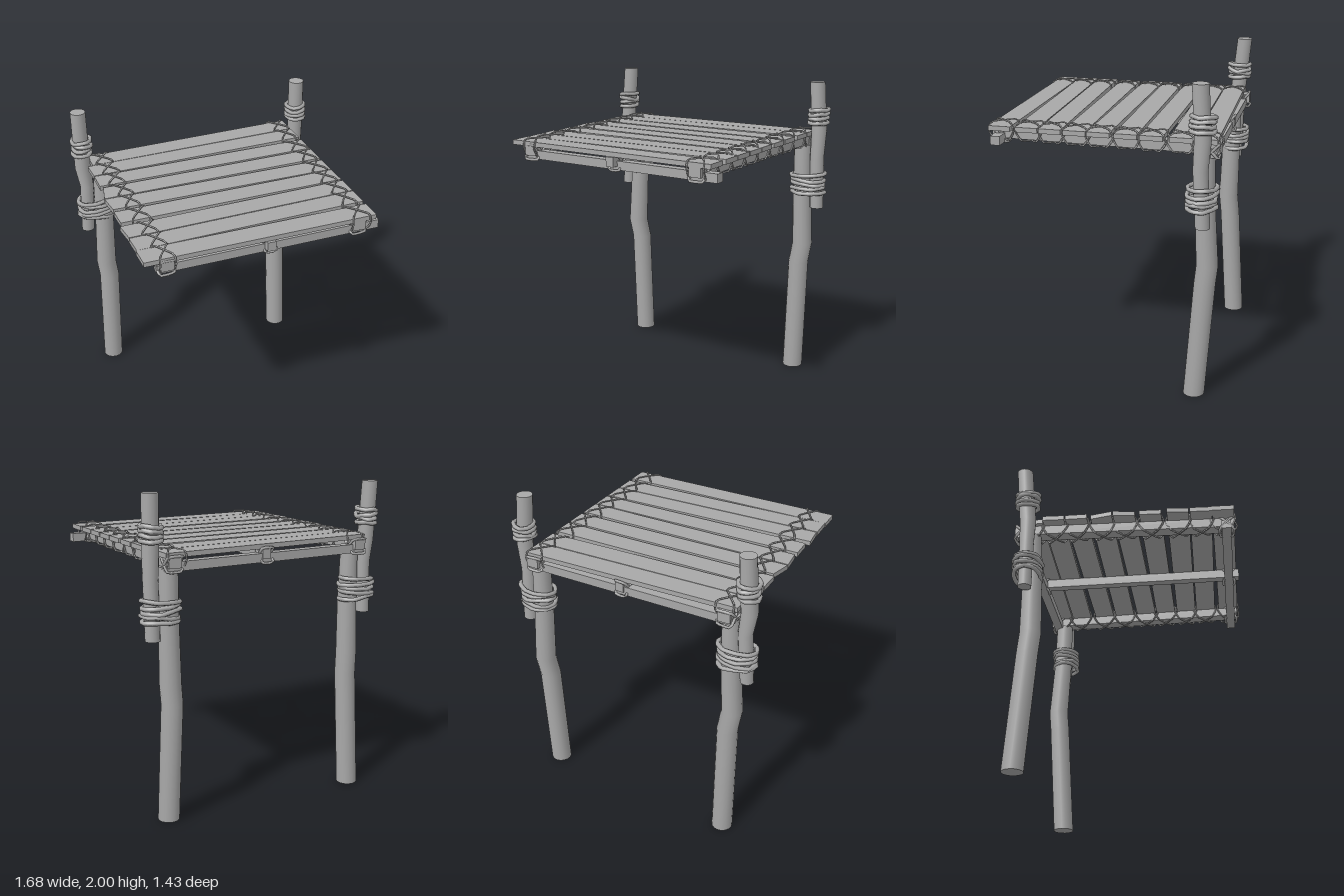
import * as THREE from 'three';

const greyWood = new THREE.MeshStandardMaterial({ color: 0xa8a8a8 });
greyWood.name = 'grey wood';

const v = (x, y, z) => new THREE.Vector3(x, y, z);

// Small seeded random in -1..1 for the uneven ropes
let seed = 7;
const jitter = (amount) => {
  seed = (seed * 16807) % 2147483647;
  return (seed / 2147483647 * 2 - 1) * amount;
};

function add(parent, name, geometry) {
  const mesh = new THREE.Mesh(geometry, greyWood);
  mesh.name = name;
  parent.add(mesh);
  return mesh;
}

// Crooked round pole: rows are [x, y, z, radius] from top to bottom
function pole(parent, name, rows) {
  const n = rows.length - 1;
  const geometry = new THREE.CylinderGeometry(1, 1, 1, 16, n);
  const p = geometry.attributes.position;
  for (let i = 0; i < p.count; i++) {
    const [x, y, z, r] = rows[Math.round((0.5 - p.getY(i)) * n)];
    p.setXYZ(i, x + p.getX(i) * r, y, z + p.getZ(i) * r);
  }
  return add(parent, name, geometry);
}

// Square timber between two points
function beam(parent, name, a, b, width, height) {
  const mesh = add(parent, name, new THREE.BoxGeometry(width, height, a.distanceTo(b)));
  mesh.position.copy(a).lerp(b, 0.5);
  mesh.lookAt(b);
}

// Closed rope through a few points
function ropeLoop(parent, name, points, radius, segments, sides) {
  const curve = new THREE.CatmullRomCurve3(points, true, 'catmullrom', 0.2);
  add(parent, name, new THREE.TubeGeometry(curve, segments, radius, sides, true));
}

// Stack of uneven rope turns around upright poles
function wrap(parent, name, cx, cz, rx, rz, y0, y1, turns) {
  const group = new THREE.Group();
  group.name = name;
  for (let i = 0; i < turns; i++) {
    const y = y0 + (y1 - y0) * i / (turns - 1);
    const tilt = jitter(0.012), phase = jitter(0.4);
    const points = [];
    for (let k = 0; k < 9; k++) {
      const a = phase + k / 9 * Math.PI * 2, s = 1 + jitter(0.07);
      points.push(v(cx + Math.cos(a) * rx * s, y + tilt * Math.cos(a) + jitter(0.006), cz + Math.sin(a) * rz * s));
    }
    ropeLoop(group, 'ropeTurn', points, 0.014, 27, 6);
  }
  parent.add(group);
}

export function createModel() {
  const model = new THREE.Group();
  model.name = 'platform';

  // Main posts with a knee in the middle
  pole(model, 'rightPost', [
    [-0.652, 1.575, -0.59, 0.055], [-0.655, 1.25, -0.58, 0.062], [-0.668, 0.88, -0.572, 0.067],
    [-0.65, 0.75, -0.59, 0.067], [-0.655, 0, -0.64, 0.067]]);
  pole(model, 'leftPost', [
    [0.655, 1.575, -0.61, 0.058], [0.658, 1.25, -0.615, 0.062], [0.662, 0.88, -0.637, 0.067],
    [0.645, 0.75, -0.622, 0.067], [0.65, 0, -0.572, 0.067]]);

  // Short upper poles tied to the outside of the posts
  pole(model, 'rightUpperPole', [
    [-0.764, 2, -0.635, 0.05], [-0.77, 1.62, -0.60, 0.052], [-0.752, 1.48, -0.605, 0.045],
    [-0.77, 1.15, -0.60, 0.042]]);
  pole(model, 'leftUpperPole', [
    [0.755, 2, -0.588, 0.05], [0.768, 1.68, -0.61, 0.051], [0.765, 1.5, -0.60, 0.046],
    [0.766, 1.15, -0.62, 0.045]]);

  // Rope wraps on the poles
  for (const side of [-1, 1]) {
    const label = side < 0 ? 'right' : 'left';
    wrap(model, label + 'LowerWrap', side * 0.702, -0.602, 0.118, 0.086, 1.26, 1.375, 5);
    wrap(model, label + 'UpperWrap', side * 0.764, -0.608, 0.06, 0.07, 1.73, 1.815, 4);
  }

  // Cross beams, side rails and middle joist under the deck
  beam(model, 'frontBeam', v(-0.67, 1.582, 0.65), v(0.74, 1.582, 0.65), 0.06, 0.055);
  beam(model, 'backBeam', v(-0.70, 1.582, -0.65), v(0.70, 1.582, -0.65), 0.06, 0.055);
  beam(model, 'rightRail', v(-0.655, 1.606, -0.70), v(-0.612, 1.606, 0.70), 0.08, 0.06);
  beam(model, 'leftRail', v(0.655, 1.606, -0.70), v(0.60, 1.606, 0.70), 0.08, 0.06);
  beam(model, 'middleJoist', v(0.035, 1.606, -0.69), v(0.02, 1.606, 0.72), 0.055, 0.06);

  // Deck planks: right end x at back and front, z of the back edge at each end
  const planks = [
    [-0.72, -0.72, -0.655, -0.687], [-0.755, -0.75, -0.512, -0.542], [-0.75, -0.75, -0.366, -0.366],
    [-0.735, -0.765, -0.205, -0.212], [-0.765, -0.75, -0.06, -0.047], [-0.755, -0.75, 0.106, 0.098],
    [-0.767, -0.752, 0.28, 0.25], [-0.755, -0.75, 0.425, 0.395], [-0.755, -0.752, 0.563, 0.565]];
  const width = 0.138;
  const lashings = new THREE.Group();
  lashings.name = 'deckLashings';
  model.add(lashings);
  for (const [xBack, xFront, zRight, zLeft] of planks) {
    const outline = new THREE.Shape([
      new THREE.Vector2(xBack, -zRight), new THREE.Vector2(xFront, -zRight - width),
      new THREE.Vector2(0.708, -zLeft - width), new THREE.Vector2(0.708, -zLeft)]);
    const geometry = new THREE.ExtrudeGeometry(outline, { depth: 0.03, bevelEnabled: false });
    geometry.rotateX(-Math.PI / 2).translate(0, 1.635, 0);
    add(model, 'plank', geometry);

    // Two crossing rope loops tie each plank end to its rail
    for (const side of [-1, 1]) {
      const z = (side < 0 ? zRight : zLeft) + width / 2;
      const x = side * (0.626 - z * 0.025);
      for (const slant of [-1, 1]) {
        const d = slant * (0.052 + jitter(0.008)), e = 0.082 + jitter(0.006);
        ropeLoop(lashings, 'lashing', [
          v(x - d, 1.625, z - e), v(x - d * 0.9, 1.678, z - 0.062),
          v(x + d * 0.9, 1.678, z + 0.062), v(x + d, 1.625, z + e),
          v(x + d * 0.9, 1.568, z + 0.045), v(x - d * 0.9, 1.568, z - 0.045)], 0.006, 24, 4);
      }
    }
  }

  // Rope knots where the rails and joist meet the cross beams
  const knots = new THREE.Group();
  knots.name = 'beamKnots';
  model.add(knots);
  for (const z of [-0.65, 0.65]) {
    for (const x of [-0.632 + (z > 0 ? 0.02 : -0.02), 0.028, 0.626 - (z > 0 ? 0.024 : -0.026)]) {
      const w = Math.abs(x) < 0.1 ? 0.036 : 0.048;
      for (const dz of [-0.04, 0.04]) {
        ropeLoop(knots, 'knotTurn', [
          v(x - w, 1.64, z + dz), v(x + w, 1.64, z + dz + jitter(0.008)),
          v(x + w, 1.555, z - dz * 0.9), v(x - w, 1.555, z - dz + jitter(0.008))], 0.009, 20, 5);
      }
    }
  }

  return model;
}
